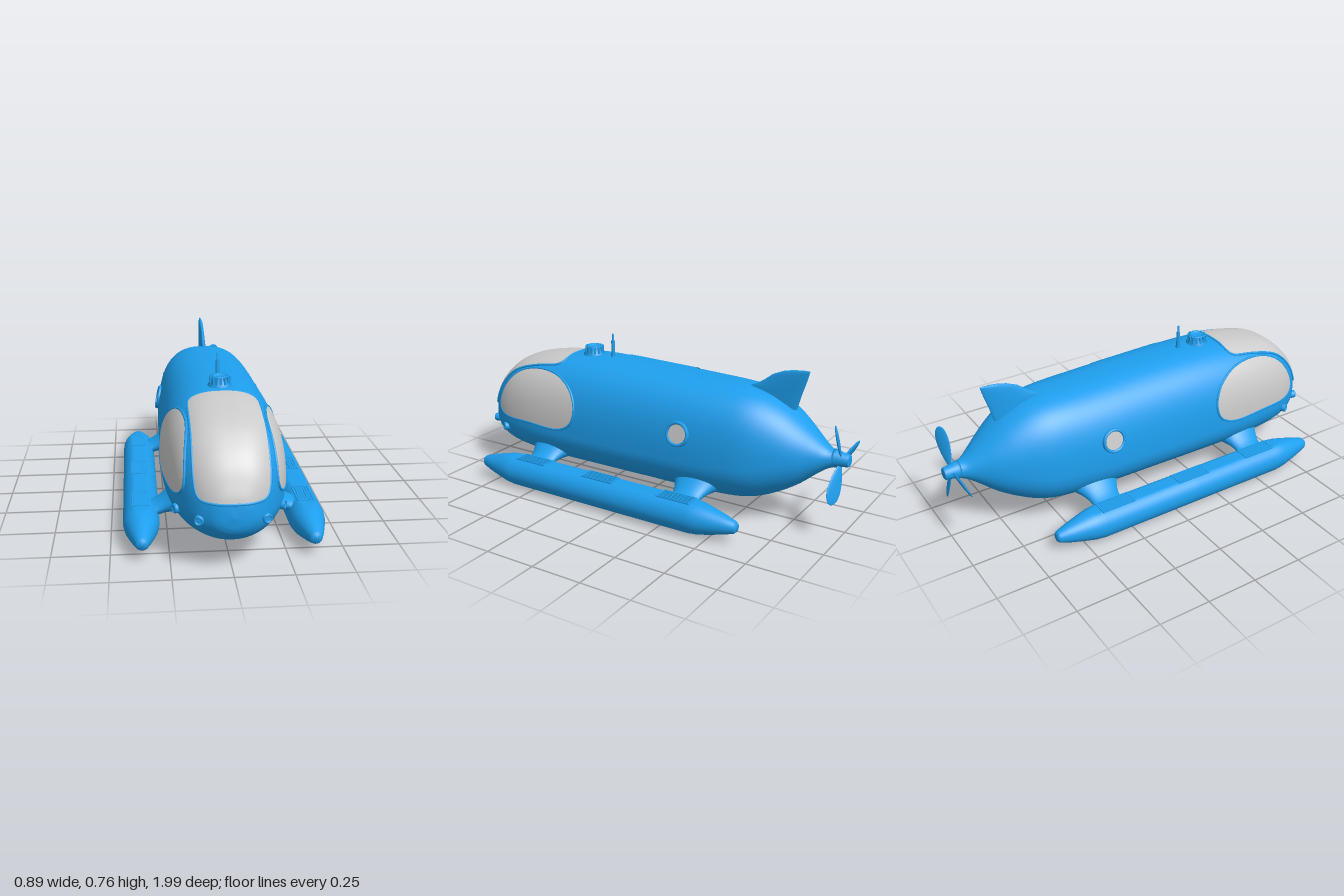
import * as THREE from 'three';

const BLUE = new THREE.MeshStandardMaterial({ color: 0x1e9fee });
const BLUE_THIN = new THREE.MeshStandardMaterial({ color: 0x1e9fee, side: THREE.DoubleSide });
const GLASS = new THREE.MeshStandardMaterial({ color: 0xcccccc, side: THREE.DoubleSide });
const V = (x, y, z) => new THREE.Vector3(x, y, z);
const TAU = Math.PI * 2;

// Hull stations: z, half width, bottom, top, height of widest point
const STATIONS = [
  [0.992, 0, 0.25, 0.25, 0.25], [0.985, 0.06, 0.2, 0.315, 0.25], [0.965, 0.105, 0.165, 0.37, 0.252],
  [0.93, 0.15, 0.135, 0.44, 0.26], [0.87, 0.195, 0.112, 0.51, 0.265], [0.78, 0.232, 0.095, 0.575, 0.27],
  [0.65, 0.257, 0.085, 0.612, 0.275], [0.5, 0.268, 0.08, 0.632, 0.275], [0.3, 0.27, 0.08, 0.64, 0.275],
  [0, 0.265, 0.08, 0.636, 0.275], [-0.3, 0.26, 0.08, 0.628, 0.28], [-0.5, 0.243, 0.085, 0.62, 0.29],
  [-0.6, 0.222, 0.105, 0.6, 0.3], [-0.7, 0.183, 0.15, 0.553, 0.325], [-0.78, 0.14, 0.2, 0.495, 0.34],
  [-0.85, 0.09, 0.258, 0.437, 0.347], [-0.9, 0.055, 0.295, 0.397, 0.348], [-0.945, 0.035, 0.315, 0.385, 0.35],
];

// Smooth (Hermite) interpolation between stations
function station(z) {
  const S = STATIONS, last = S.length - 1;
  let i = 0;
  while (i < last - 1 && z < S[i + 1][0]) i++;
  const h = S[i + 1][0] - S[i][0], t = THREE.MathUtils.clamp((z - S[i][0]) / h, 0, 1);
  const slope = (k, c) => {
    const a = Math.max(k - 1, 0), b = Math.min(k + 1, last);
    return (S[b][c] - S[a][c]) / (S[b][0] - S[a][0]);
  };
  const [w, bottom, top, mid] = [1, 2, 3, 4].map((c) =>
    S[i][c] * (1 + 2 * t) * (1 - t) ** 2 + S[i + 1][c] * t * t * (3 - 2 * t)
    + h * t * (1 - t) * (slope(i, c) * (1 - t) - slope(i + 1, c) * t));
  return { w, bottom, top, mid, n: 2 + 0.6 * THREE.MathUtils.smoothstep(z, -0.95, -0.5) };
}

function insideHull(p) {
  if (p.z > STATIONS[0][0] || p.z < -0.945) return false;
  const s = station(p.z), up = p.y > s.mid, n = up ? s.n : 2.1;
  const h = up ? s.top - s.mid : s.mid - s.bottom;
  return (Math.abs(p.x) / s.w) ** n + (Math.abs(p.y - s.mid) / h) ** n < 1;
}

// Point where a ray from inside leaves the hull, pushed out by an offset
function onHull(origin, dir, offset = 0) {
  let a = 0, b = 1.5;
  for (let i = 0; i < 30; i++) {
    const m = (a + b) / 2;
    if (insideHull(origin.clone().addScaledVector(dir, m))) a = m; else b = m;
  }
  return origin.clone().addScaledVector(dir, a + offset);
}

// Skin over a list of closed rings
function loft(rings) {
  const n = rings[0].length, index = [];
  for (let i = 0; i < rings.length - 1; i++) {
    for (let j = 0; j < n; j++) {
      const a = i * n + j, d = i * n + (j + 1) % n;
      index.push(a, a + n, d, a + n, d + n, d);
    }
  }
  const g = new THREE.BufferGeometry().setFromPoints(rings.flat());
  g.setIndex(index);
  g.computeVertexNormals();
  return g;
}
const ring = (n, f) => Array.from({ length: n }, (_, j) => f((j / n) * TAU));
const range = (n) => Array.from({ length: n }, (_, i) => i);

function add(parent, name, geometry, material = BLUE, pos = [0, 0, 0]) {
  const m = new THREE.Mesh(geometry, material);
  m.name = name;
  m.position.set(...pos);
  parent.add(m);
  return m;
}
const lathe = (pts, seg = 40) => new THREE.LatheGeometry(pts.map((p) => new THREE.Vector2(...p)), seg);

// Surface patch that follows the hull: outline is scaled inward, map puts it on the hull
function patch(parent, name, outline, centre, map, material, offset, rim) {
  const rings = range(21).map((i) => outline.map(([u, v]) =>
    map(centre[0] + (u - centre[0]) * i / 20, centre[1] + (v - centre[1]) * i / 20, offset)));
  add(parent, name, loft(rings), material);
  if (!rim) return;
  const path = new THREE.CatmullRomCurve3(outline.map(([u, v]) => map(u, v, 0.001)), true);
  add(parent, name + 'Rim', new THREE.TubeGeometry(path, 160, rim, 8, true));
}
// Rounded rectangle as a superellipse
const roundedRect = (cu, cv, ru, rv, e) => ring(96, (a) => {
  const c = Math.cos(a), s = Math.sin(a), k = (Math.abs(c) ** e + Math.abs(s) ** e) ** (-1 / e);
  return [cu + ru * c * k, cv + rv * s * k];
});

function buildHull(g) {
  const rings = [];
  for (let i = 0; i < STATIONS.length - 1; i++) {
    for (let k = 0; k < (i === STATIONS.length - 2 ? 6 : 5); k++) {
      const z = THREE.MathUtils.lerp(STATIONS[i][0], STATIONS[i + 1][0], k / 5), s = station(z);
      rings.push(ring(96, (a) => {
        const c = Math.cos(a), sn = Math.sin(a), n = sn > 0 ? s.n : 2.1;
        const k2 = (Math.abs(c) ** n + Math.abs(sn) ** n) ** (-1 / n);
        return V(s.w * c * k2, s.mid + (sn > 0 ? s.top - s.mid : s.mid - s.bottom) * sn * k2, z);
      }));
    }
  }
  add(g, 'hull', loft(rings));

  // Windshield wraps from the nose up to the roof
  patch(g, 'windshield', roundedRect(0, 0.77, 0.157, 0.77, 9), [0, 0.77],
    (x, a, o) => onHull(V(x, 0.308, 0.47), V(0, Math.sin(a), Math.cos(a)), o), GLASS, 0.004, 0.006);
  // Roof panel
  patch(g, 'roofPanel', roundedRect(0, 0.035, 0.163, 0.195, 10), [0, 0.035],
    (x, z, o) => onHull(V(x, 0.3, z), V(0, 1, 0), o), BLUE_THIN, 0.003);
}

function buildSide(g, s) {
  const side = s > 0 ? 'left' : 'right';
  // Large side window
  const shape = [[0.83, 0.303], [0.866, 0.345], [0.84, 0.43], [0.77, 0.512], [0.68, 0.555], [0.55, 0.57],
    [0.44, 0.55], [0.36, 0.495], [0.33, 0.42], [0.35, 0.345], [0.42, 0.303], [0.62, 0.3]];
  const outline = new THREE.CatmullRomCurve3(shape.map(([z, y]) => V(z, y, 0)), true)
    .getPoints(96).slice(0, 96).map((p) => [p.x, p.y]);
  patch(g, side + 'Window', outline, [0.6, 0.42],
    (z, y, o) => onHull(V(0, y, z), V(s, 0, 0), o), GLASS, 0.004, 0.006);

  // Porthole, tilted with the hull
  const port = new THREE.Group();
  port.name = side + 'Porthole';
  port.position.copy(onHull(V(0, 0.41, -0.26), V(s, 0, 0), 0));
  port.rotation.z = -s * (Math.PI / 2 - 0.2);
  add(port, 'portholeRing', lathe([[0.06, -0.03], [0.06, 0.007], [0.056, 0.012], [0.049, 0.012], [0.045, 0.006], [0.045, -0.03]]));
  add(port, 'portholeGlass', new THREE.CylinderGeometry(0.046, 0.046, 0.02, 40), GLASS, [0, -0.004, 0]);
  g.add(port);

  // Nose lamps
  for (const [x, z, turn] of [[0.122, 0.9, 0.3], [0.2, 0.8, 1.1]]) {
    const dir = V(s * Math.sin(turn), 0, Math.cos(turn));
    const lamp = add(g, side + 'Lamp', lathe([[0.021, -0.03], [0.021, 0.012], [0.018, 0.018], [0.014, 0.018], [0.012, 0.012], [0, 0.015]], 24));
    lamp.position.copy(onHull(V(s * x, 0.23, z), dir, 0));
    lamp.quaternion.setFromUnitVectors(V(0, 1, 0), dir);
  }

  // Pontoon with a flattened deck
  const pontoon = lathe([[0, -0.637], [0.02, -0.636], [0.029, -0.625], [0.045, -0.575], [0.062, -0.51], [0.074, -0.46], [0.08, -0.41],
    [0.08, 0.1], [0.08, 0.61], [0.074, 0.66], [0.062, 0.71], [0.045, 0.775], [0.029, 0.825], [0.02, 0.836], [0, 0.837]], 64);
  pontoon.rotateX(Math.PI / 2);
  const p = pontoon.attributes.position;
  for (let i = 0; i < p.count; i++) p.setY(i, Math.min(p.getY(i), 0.073));
  pontoon.computeVertexNormals();
  add(g, side + 'Pontoon', pontoon, BLUE, [s * 0.365, 0.08, 0]);

  // Deck treads made of long slats
  for (const z of [0.505, 0.1, -0.325]) {
    const tread = new THREE.Group();
    tread.name = side + 'Tread';
    tread.position.set(s * 0.366, 0.153, z);
    for (const e of [-1, 1]) add(tread, 'treadEnd', new THREE.BoxGeometry(0.076, 0.006, 0.006), BLUE, [0, 0, e * 0.084]);
    for (const i of range(7)) add(tread, 'treadSlat', new THREE.BoxGeometry(0.006, 0.006, 0.17), BLUE, [(i - 3) * 0.0117, 0, 0]);
    g.add(tread);
  }

  // Flared struts: x, centre height, half height, half length
  const sections = [[0.18, 0.19, 0.085, 0.13], [0.21, 0.172, 0.066, 0.108], [0.235, 0.157, 0.052, 0.092],
    [0.26, 0.143, 0.042, 0.08], [0.285, 0.129, 0.036, 0.073], [0.31, 0.118, 0.033, 0.072], [0.34, 0.11, 0.032, 0.074]];
  for (const z of [0.52, -0.33]) {
    add(g, side + 'Strut', loft(sections.map(([x, y, ry, rz]) =>
      ring(32, (a) => V(s * x, y + ry * Math.sin(s * a), z + rz * Math.cos(s * a))))));
  }
}

function buildRoofParts(g) {
  // Hatch with ribs
  const hatch = new THREE.Group();
  hatch.name = 'hatch';
  hatch.position.set(0, 0.63, 0.385);
  add(hatch, 'hatchTower', lathe([[0.056, -0.01], [0.054, 0.012], [0.047, 0.016], [0.038, 0.046], [0.038, 0.052], [0.03, 0.052], [0.028, 0.044], [0, 0.044]]));
  for (const i of range(14)) {
    const a = (i / 14) * TAU;
    const rib = add(hatch, 'hatchRib', new THREE.BoxGeometry(0.01, 0.036, 0.008), BLUE, [0.043 * Math.sin(a), 0.032, 0.043 * Math.cos(a)]);
    rib.rotation.y = a;
  }
  g.add(hatch);
  // Antenna
  add(g, 'antenna', lathe([[0.012, 0.62], [0.012, 0.648], [0.009, 0.652], [0.0095, 0.718], [0.005, 0.726], [0.004, 0.755], [0, 0.759]], 16), BLUE, [0, 0, 0.27]);
  // Tail fin: height, leading z, trailing z, half thickness
  const rows = [[0.54, -0.44, -0.735, 0.018], [0.615, -0.49, -0.755, 0.016], [0.635, -0.535, -0.762, 0.015], [0.66, -0.572, -0.77, 0.014],
    [0.69, -0.61, -0.779, 0.012], [0.712, -0.66, -0.785, 0.01], [0.723, -0.705, -0.788, 0.007], [0.728, -0.755, -0.789, 0.003], [0.729, -0.772, -0.773, 0]];
  add(g, 'tailFin', loft(rows.map(([y, a, b, w]) =>
    ring(32, (t) => V(w * Math.cos(t), y, (a + b) / 2 + (a - b) / 2 * Math.sin(t))))));
}

function buildPropeller(g) {
  const prop = new THREE.Group();
  prop.name = 'propeller';
  prop.position.set(0, 0.35, -0.96);
  const hub = add(prop, 'hub', lathe([[0, -0.04], [0.024, -0.04], [0.029, -0.036], [0.034, 0], [0.042, 0.025], [0.042, 0.035], [0, 0.035]]));
  hub.rotation.x = Math.PI / 2;
  // Paddle blade: narrow at the root, wide toward the tip
  const blade = new THREE.SphereGeometry(1, 32, 20);
  const p = blade.attributes.position;
  for (let i = 0; i < p.count; i++) {
    const x = p.getX(i);
    p.setXYZ(i, 0.115 + 0.095 * x, p.getY(i) * (0.04 + 0.016 * x), p.getZ(i) * 0.007);
  }
  blade.computeVertexNormals();
  blade.rotateX(0.42);
  for (const i of range(3)) add(prop, 'blade', blade).rotation.z = Math.PI + (i * TAU) / 3;
  g.add(prop);
}

export function createModel() {
  const g = new THREE.Group();
  g.name = 'submarine';
  buildHull(g);
  for (const s of [1, -1]) buildSide(g, s);
  buildRoofParts(g);
  buildPropeller(g);
  return g;
}
